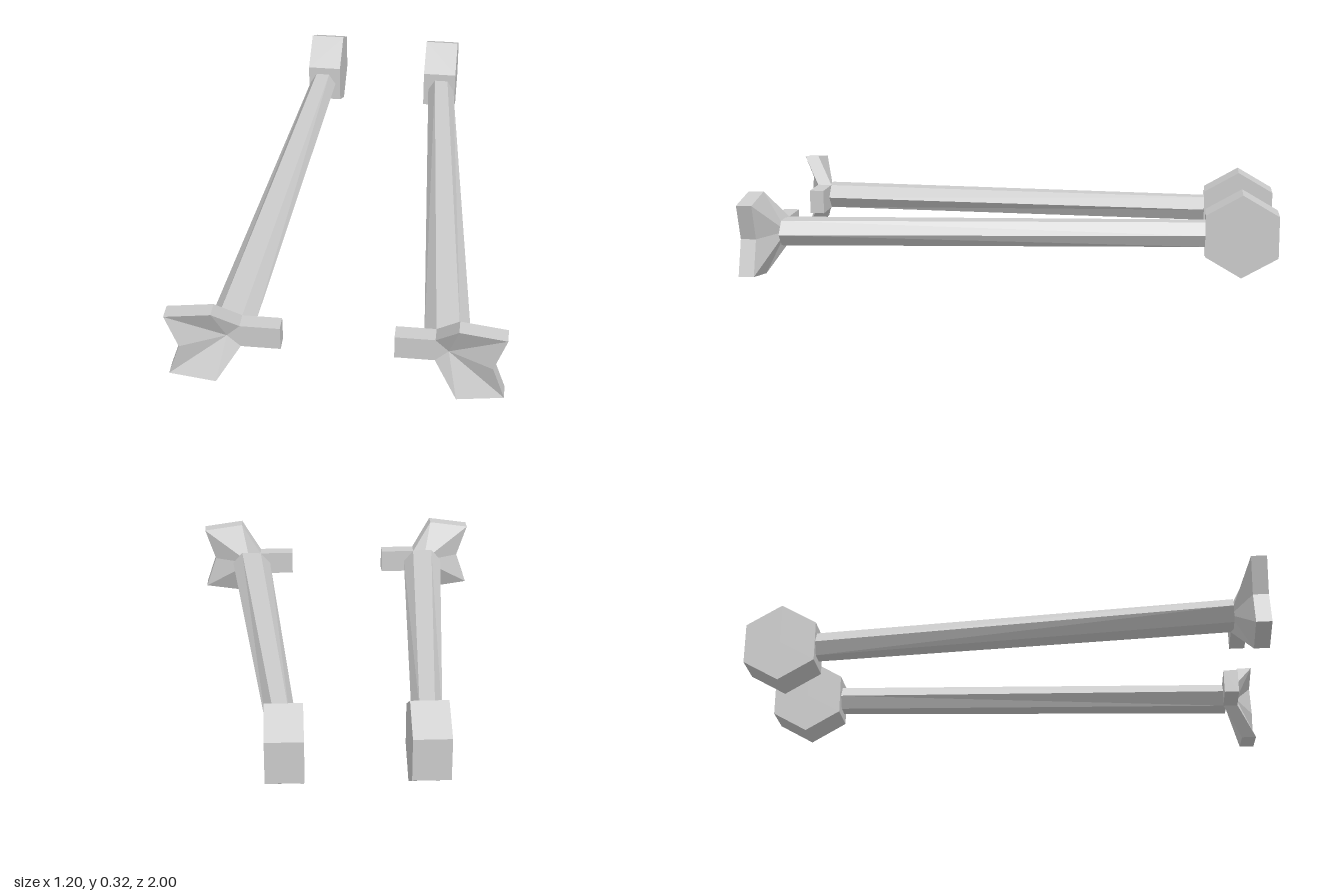
import * as THREE from 'three';

const MID = 0.162; // height of the common axis

function hexPrism(radius, length) {
  // six-sided prism along y with corners on +x and -x
  return new THREE.CylinderGeometry(radius, radius, length, 6).rotateY(Math.PI / 2);
}

// Hexagonal block at the back end
function weightGeometry() {
  return hexPrism(0.159, 0.137).rotateZ(Math.PI / 2).translate(0.2535, MID, -0.863);
}

// Hexagonal rod, slanting outward and widening toward the front
function rodGeometry() {
  const zBack = -0.74, zFront = 0.878;
  const g = hexPrism(0.055, zFront - zBack).rotateX(Math.PI / 2);
  g.translate(0, MID, (zFront + zBack) / 2);
  const p = g.attributes.position;
  for (let i = 0; i < p.count; i++) {
    const t = (p.getZ(i) - zBack) / (zFront - zBack);
    p.setX(i, p.getX(i) * (1 + 0.52 * t) + 0.26 + 0.129 * t);
  }
  return g;
}

// Notched, forward-bent fin with a flat tab on the inner side
function finGeometry() {
  const low = 0.89, high = 0.96; // middle depths of the tab and of the raised rim
  const half = 0.029;
  const outline = [
    [0.203, 0.114, low], [0.347, 0.114, low], [0.43, 0.003, high],
    [0.598, 0.028, high], [0.553, MID, high], [0.598, 0.297, high],
    [0.43, 0.321, high], [0.347, 0.21, low], [0.203, 0.21, low],
  ].map(([x, y, z]) => [x, y, z === low ? 0.897 : 0.971]);
  const apex = [0.395, MID, 0.897];
  const shift = (p, d) => [p[0], p[1], p[2] + d];
  const v = [];
  outline.forEach((a, i) => {
    const b = outline[(i + 1) % outline.length];
    const af = shift(a, half), bf = shift(b, half);
    const ab = shift(a, -half), bb = shift(b, -half);
    v.push(...shift(apex, half), ...af, ...bf); // front
    v.push(...shift(apex, -half), ...bb, ...ab); // back
    v.push(...ab, ...bb, ...bf, ...ab, ...bf, ...af); // rim
  });
  const g = new THREE.BufferGeometry();
  g.setAttribute('position', new THREE.Float32BufferAttribute(v, 3));
  return g;
}

// Flat-faced copy for one side; the mirrored one gets its corner order reversed
function sided(geometry, side) {
  const src = geometry.index ? geometry.toNonIndexed() : geometry;
  const p = src.attributes.position;
  const order = side > 0 ? [0, 1, 2] : [0, 2, 1];
  const v = [];
  for (let i = 0; i < p.count; i += 3) {
    for (const k of order) v.push(p.getX(i + k) * side, p.getY(i + k), p.getZ(i + k));
  }
  const g = new THREE.BufferGeometry();
  g.setAttribute('position', new THREE.Float32BufferAttribute(v, 3));
  g.computeVertexNormals();
  return g;
}

export function createModel() {
  const model = new THREE.Group();
  model.name = 'finnedRods';
  const material = new THREE.MeshStandardMaterial({ color: 0xcccccc, flatShading: true });
  const parts = { weight: weightGeometry(), rod: rodGeometry(), fin: finGeometry() };

  for (const [label, side] of [['left', 1], ['right', -1]]) {
    const arm = new THREE.Group();
    arm.name = label + 'Arm';
    for (const [name, geometry] of Object.entries(parts)) {
      const mesh = new THREE.Mesh(sided(geometry, side), material);
      mesh.name = name;
      arm.add(mesh);
    }
    model.add(arm);
  }
  return model;
}
